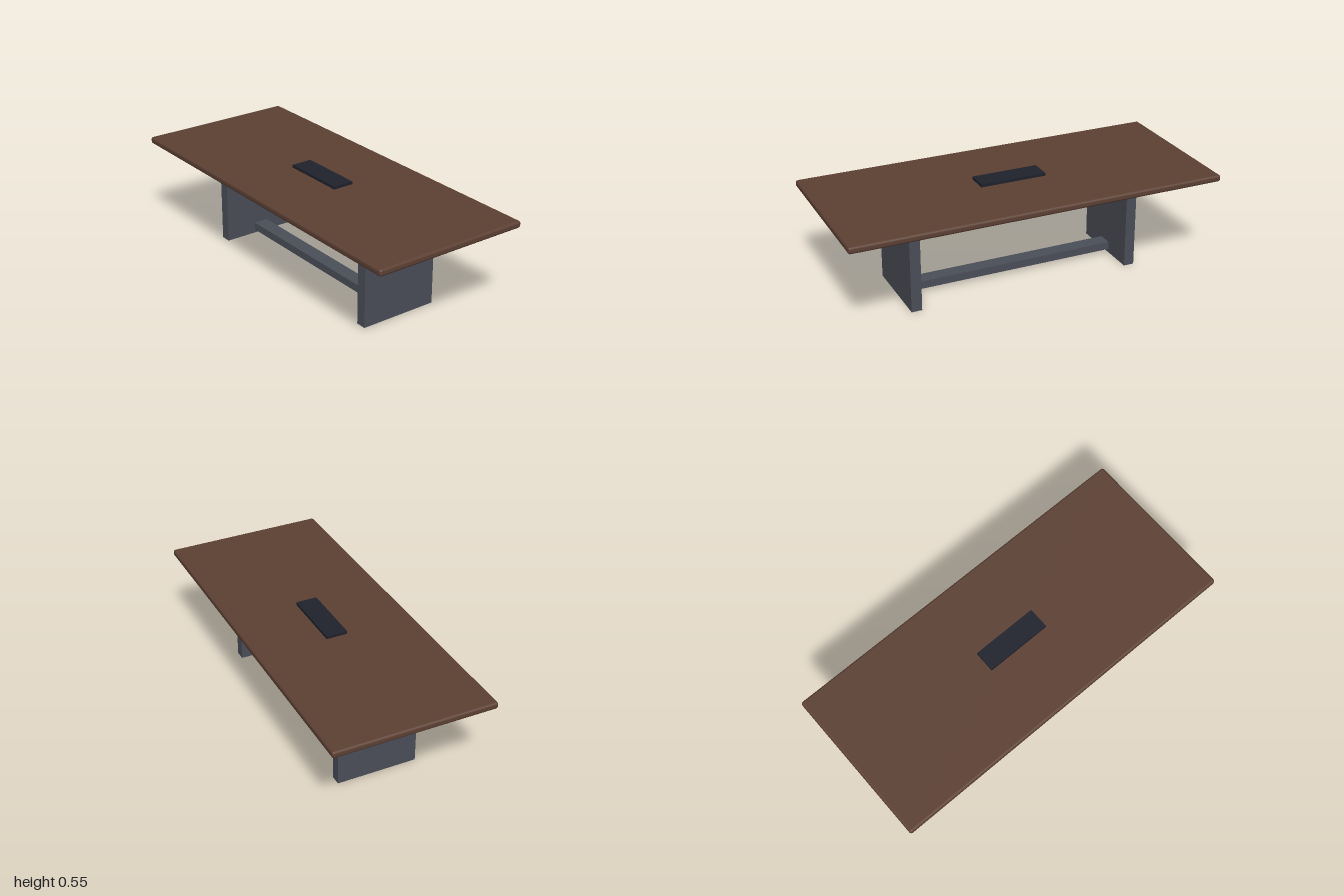
import * as THREE from 'three';
import { RoundedBoxGeometry } from 'three/addons/geometries/RoundedBoxGeometry.js';

function material(name, color) {
  const m = new THREE.MeshStandardMaterial({ color });
  m.name = name;
  return m;
}

export function createModel() {
  const group = new THREE.Group();
  group.name = 'conferenceTable';
  const wood = material('walnut brown', 0x5c4033);
  const metal = material('slate grey', 0x4a4e57);
  const dark = material('dark navy', 0x1f212c);

  const add = (name, geometry, mat, x, y, z = 0) => {
    const mesh = new THREE.Mesh(geometry, mat);
    mesh.name = name;
    mesh.position.set(x, y, z);
    group.add(mesh);
  };

  // Tabletop with softened edges
  add('tabletop', new RoundedBoxGeometry(2, 0.036, 0.857, 4, 0.0125), wood, 0, 0.512);

  // Slab legs, mirrored
  for (const side of [-1, 1]) {
    add(side > 0 ? 'leftLeg' : 'rightLeg', new THREE.BoxGeometry(0.056, 0.496, 0.429), metal, side * 0.602, 0.248);
  }

  // Low stretcher between the legs
  add('stretcher', new THREE.BoxGeometry(1.15, 0.042, 0.08), metal, 0, 0.04);

  // Connection box on the tabletop
  add('connectionBox', new THREE.BoxGeometry(0.357, 0.016, 0.114), dark, 0, 0.537);

  return group;
}
